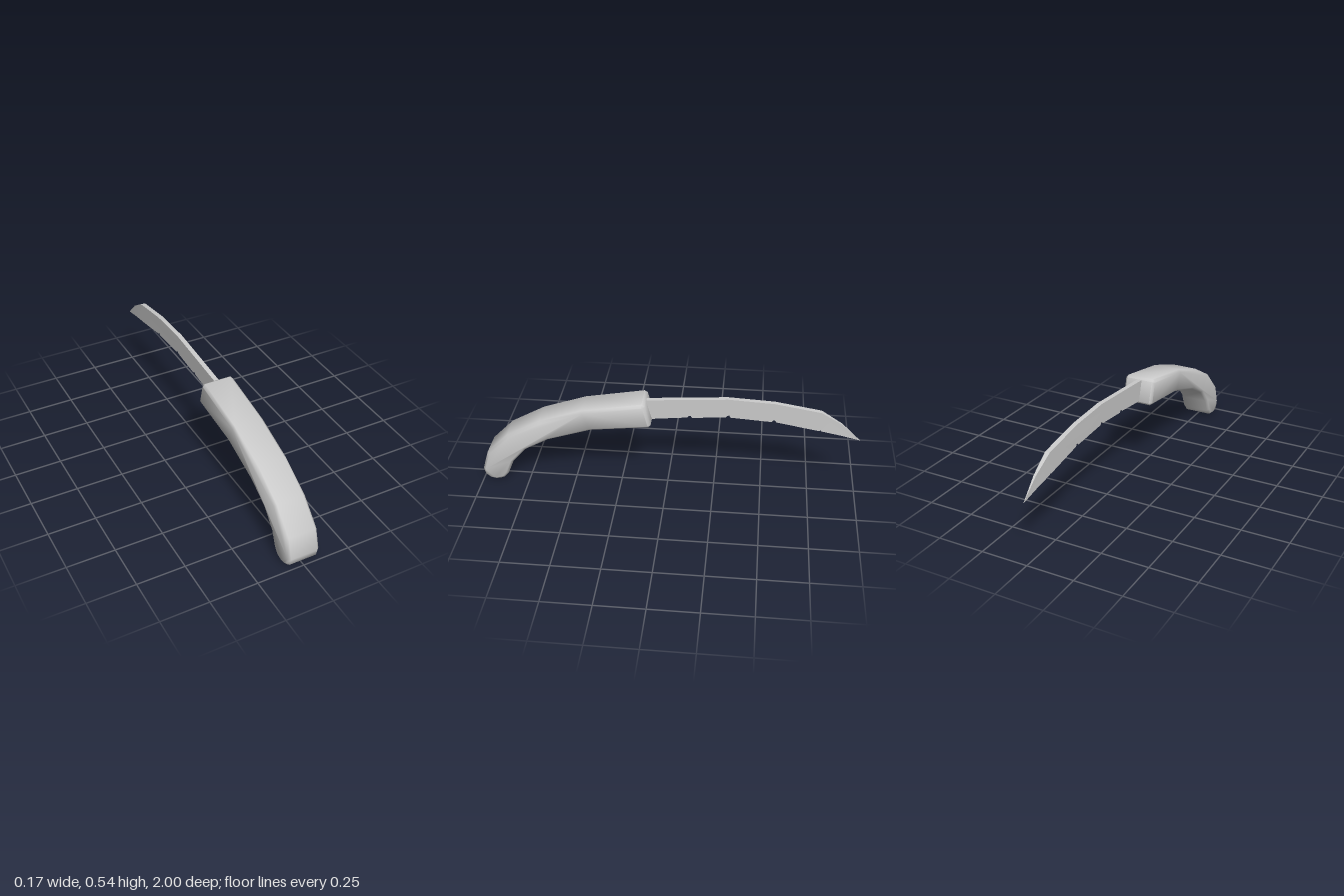
import * as THREE from 'three';
import { toCreasedNormals } from 'three/addons/utils/BufferGeometryUtils.js';

const material = new THREE.MeshStandardMaterial({ color: 0xcccccc });

// Side profile given as [z, y], extruded across x and centred on x = 0
function extrudeProfile(points, width, bevel = 0) {
  const shape = new THREE.Shape(points.map(([z, y]) => new THREE.Vector2(z, y)));
  const depth = width - 2 * bevel;
  const geometry = new THREE.ExtrudeGeometry(shape, {
    depth,
    bevelEnabled: bevel > 0,
    bevelThickness: bevel,
    bevelSize: bevel,
    bevelOffset: -bevel,
    bevelSegments: 1,
  });
  geometry.translate(0, 0, -depth / 2);
  geometry.rotateY(-Math.PI / 2);
  return geometry;
}

// Curved grip with a rounded butt and chamfered edges
function makeHandle() {
  const back = [[0.998, 0.065], [0.965, 0.172], [0.85, 0.287], [0.67, 0.387], [0.44, 0.465], [0.128, 0.521]];
  const end = [[0.112, 0.511], [0.082, 0.398], [0.092, 0.386]];
  const belly = [[0.4, 0.35], [0.63, 0.275], [0.755, 0.205], [0.83, 0.12], [0.86, 0.045]];
  const butt = [[0.845 + 0.04, 0.014], [0.91, 0.003], [0.935, 0], [0.962, 0.005], [0.988, 0.025]];
  const geometry = extrudeProfile([...back, ...end, ...belly, ...butt], 0.17, 0.013);
  const handle = new THREE.Mesh(toCreasedNormals(geometry, 1.0), material);
  handle.name = 'handle';
  return handle;
}

// Thin curved blade with small nicks in its lower edge, thinning to the tip
function makeBlade() {
  const spine = [[0.11, 0.511], [-0.08, 0.525], [-0.31, 0.541], [-0.55, 0.529], [-0.79, 0.49], [-0.9, 0.422], [-1, 0.328]];
  const edge = [[-0.9, 0.355]];
  const nicks = [[-0.79, 0.38, 0.005], [-0.55, 0.42, 0.012], [-0.315, 0.434, 0.012], [-0.115, 0.42, 0.012]];
  for (const [z, y, size] of nicks) {
    edge.push([z - size, y - 0.001], [z - size * 0.4, y + size], [z + size * 0.4, y + size * 0.7], [z + size, y]);
  }
  edge.push([0.11, 0.397]);

  const geometry = extrudeProfile([...spine, ...edge], 0.025);
  const position = geometry.attributes.position;
  for (let i = 0; i < position.count; i++) {
    const taper = THREE.MathUtils.clamp((position.getZ(i) + 1) / 0.2, 0.02, 1);
    position.setX(i, position.getX(i) * taper);
  }
  const blade = new THREE.Mesh(toCreasedNormals(geometry, 0.3), material);
  blade.name = 'blade';
  return blade;
}

export function createModel() {
  const model = new THREE.Group();
  model.name = 'curvedKnife';
  model.add(makeHandle(), makeBlade());
  return model;
}
